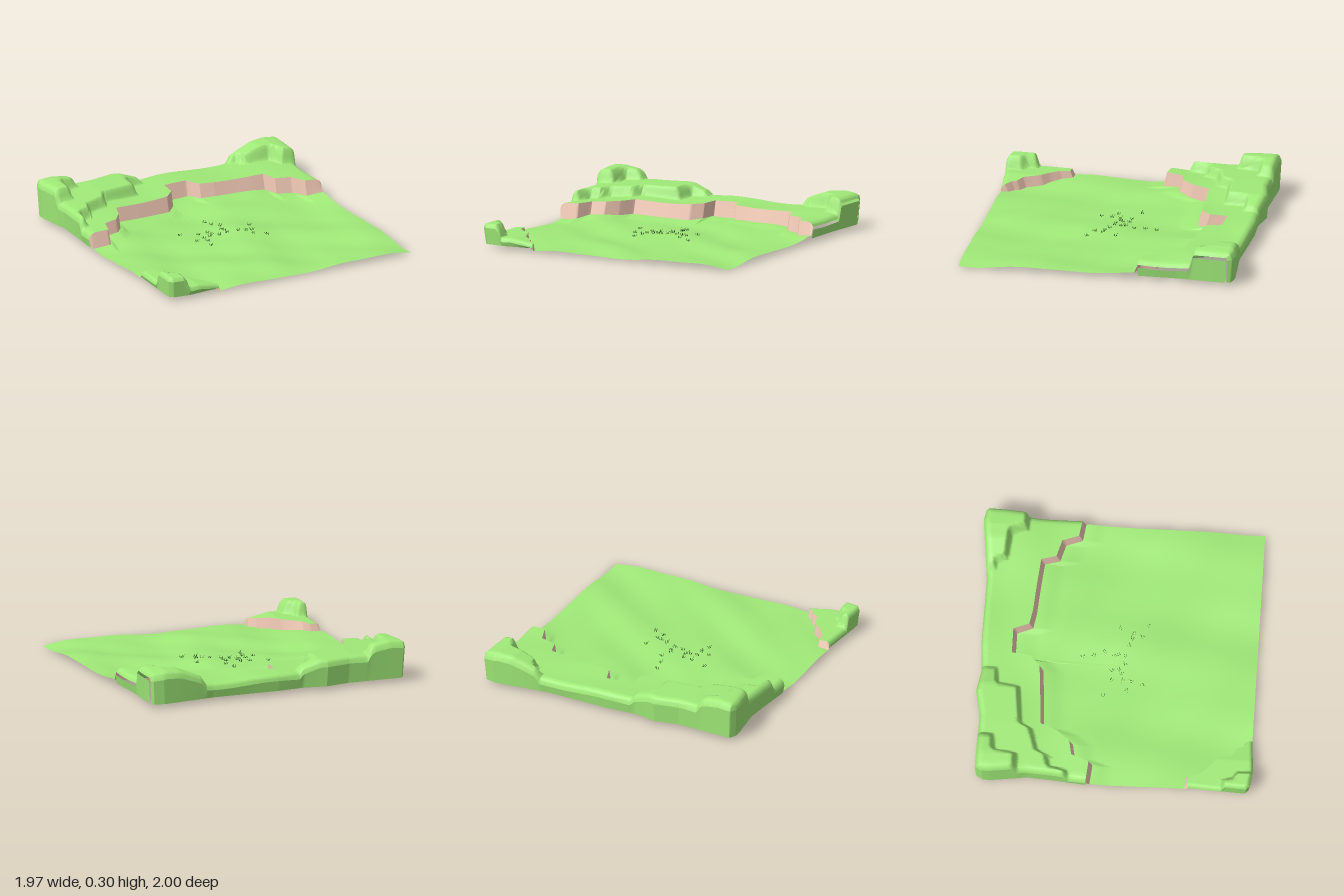
import * as THREE from 'three';
import { mergeGeometries } from 'three/addons/utils/BufferGeometryUtils.js';

const GREEN = 0xa0ea78, ROCK = 0xf0c8b4, TUFT = 0x3c6a30;
const EDGE = 0.965, BASE = 0.045;

// plan lines, each a list of [x, z] with x rising
const cliffLine = [[-0.97, -0.15], [-0.83, -0.135], [-0.79, -0.26], [-0.69, -0.28], [-0.62, -0.37], [-0.57, -0.49],
  [-0.39, -0.5], [-0.14, -0.52], [-0.07, -0.59], [-0.055, -0.72], [0.125, -0.72], [0.165, -0.61], [0.27, -0.59],
  [0.45, -0.575], [0.65, -0.555], [0.68, -0.45], [0.8, -0.415], [0.84, -0.3], [0.97, -0.28]];
const cornerLine = [[-0.97, 0.52], [-0.885, 0.52], [-0.87, 0.59], [-0.81, 0.66], [-0.75, 0.71], [-0.71, 0.82],
  [-0.65, 0.86], [-0.64, 0.89], [-0.59, 0.93], [-0.58, 0.975]];
const backEdge = [[-0.97, -0.9], [-0.94, -0.955], [-0.55, -0.945], [-0.37, -0.98], [-0.2, -0.95], [0, -0.965],
  [0.5, -0.955], [0.75, -0.985], [0.88, -1], [0.95, -0.985], [0.97, -0.93]];
const frontEdge = [[-0.97, 0.95], [-0.94, 0.98], [-0.83, 0.995], [-0.65, 0.98], [-0.58, 0.975]];
const middleTier = [[-0.99, -0.3], [-0.9, -0.3], [-0.88, -0.43], [-0.8, -0.45], [-0.77, -0.52], [-0.61, -0.57],
  [-0.58, -0.64], [-0.3, -0.67], [-0.28, -0.82], [-0.165, -0.83], [-0.15, -1.1]];
const highTier = [[-0.99, -0.66], [-0.825, -0.66], [-0.8, -0.82], [-0.69, -0.83], [-0.67, -1.1]];
const rightTier = [[0.53, -1.1], [0.55, -0.89], [0.6, -0.88], [0.63, -0.81], [0.81, -0.79], [0.85, -0.68], [0.99, -0.67]];
const cornerTier = [[-0.99, 0.765], [-0.885, 0.77], [-0.87, 0.84], [-0.825, 0.88], [-0.81, 1.1]];

// straight-line lookup in a table of pairs
function at(table, x) {
  if (x <= table[0][0]) return table[0][1];
  for (let i = 1; i < table.length; i++) {
    const [x0, z0] = table[i - 1], [x1, z1] = table[i];
    if (x <= x1) return z0 + (z1 - z0) * (x - x0) / (x1 - x0);
  }
  return table[table.length - 1][1];
}

// 0 outside a tier, 1 inside, with a short steep bank along its line
function inside(line, x, z, dir) {
  if ((z - at(line, x)) * dir <= 0) return 0;
  let d = 1;
  for (let i = 1; i < line.length; i++) {
    const [ax, az] = line[i - 1], bx = line[i][0] - ax, bz = line[i][1] - az;
    const t = THREE.MathUtils.clamp(((x - ax) * bx + (z - az) * bz) / (bx * bx + bz * bz), 0, 1);
    d = Math.min(d, Math.hypot(x - ax - bx * t, z - az - bz * t));
  }
  return THREE.MathUtils.smoothstep(d, 0, 0.04);
}

// amount a rounded rim falls at distance e from the edge
const rim = (e, r) => (e >= r ? 0 : r - Math.sqrt(Math.max(0, r * r - (r - Math.max(e, 0)) ** 2)));

// sides of the raised land swell out or in a little along z
const leftSwell = [[-1, -0.022], [-0.85, -0.022], [-0.6, 0.012], [-0.4, 0], [-0.2, -0.018], [0.5, 0.005], [0.9, -0.018]];
const rightSwell = [[-1, 0.022], [-0.85, 0.018], [-0.6, 0]];
const swell = (x, z) => x + (x < 0 ? at(leftSwell, z) : at(rightSwell, z)) * THREE.MathUtils.smoothstep(Math.abs(x), 0.75, EDGE);

function groundPoint(x, z) {
  const y = 0.04 + 0.009 * Math.sin(7 * x + 3 * z + 0.6) + 0.008 * Math.sin(9 * z - 4 * x + 1)
    + 0.006 * Math.sin(13 * x - 6 * z) * Math.cos(8 * z + 2 * x)
    + 0.015 * THREE.MathUtils.smoothstep(at(cliffLine, x) - z, -0.15, 0);
  return new THREE.Vector3(x, y, z);
}

function plateauPoint(x, z) {
  const mix = THREE.MathUtils.lerp;
  let y = 0.158 + 0.006 * Math.sin(9 * x + 1) + 0.005 * Math.sin(11 * z + 4 * x);
  y = mix(y, at([[-0.95, 0.22], [-0.6, 0.235], [-0.32, 0.235], [-0.16, 0.18]], x), inside(middleTier, x, z, -1));
  y = mix(y, at([[-0.95, 0.31], [-0.85, 0.318], [-0.75, 0.3], [-0.68, 0.265]], x), inside(highTier, x, z, -1));
  y = mix(y, at([[0.55, 0.19], [0.65, 0.23], [0.76, 0.268], [0.85, 0.275], [0.97, 0.262]], x), inside(rightTier, x, z, -1));
  y -= rim(Math.min(EDGE - Math.abs(x), z - at(backEdge, x)), 0.05);
  return new THREE.Vector3(swell(x, z), y, z);
}

function cornerPoint(x, z) {
  let y = at([[-0.95, 0.1], [-0.75, 0.105], [-0.6, 0.08]], x);
  y = THREE.MathUtils.lerp(y, 0.192, inside(cornerTier, x, z, 1));
  y -= rim(Math.min(x + EDGE, at(frontEdge, x) - z), 0.03);
  return new THREE.Vector3(swell(x, z), y, z);
}

// evenly spaced columns plus every bend of the given lines
function columns(x0, x1, ...lines) {
  const xs = [];
  const n = Math.round((x1 - x0) / 0.02);
  for (let i = 0; i <= n; i++) xs.push(x0 + (x1 - x0) * i / n);
  for (const line of lines) for (const [x] of line) xs.push(x);
  for (const e of [0.004, 0.012, 0.03]) xs.push(x0 + e, x1 - e);
  return [...new Set(xs)].filter(x => x >= x0 && x <= x1).sort((a, b) => a - b);
}

// mesh through rows of points, all rows the same length
function surface(name, rows, color) {
  const w = rows[0].length, index = [];
  for (let i = 0; i + 1 < rows.length; i++)
    for (let j = 0; j + 1 < w; j++) {
      const a = i * w + j, c = a + w;
      index.push(a, a + 1, c, c, a + 1, c + 1);
    }
  const g = new THREE.BufferGeometry().setFromPoints(rows.flat());
  g.setIndex(index);
  g.computeVertexNormals();
  const mesh = new THREE.Mesh(g, new THREE.MeshStandardMaterial({ color, side: THREE.DoubleSide }));
  mesh.name = name;
  return mesh;
}

// sheet of land between a back line and a front line
const sheet = (name, xs, back, front, n, point) => surface(name, xs.map(x => {
  const z0 = back(x), z1 = front(x);
  return Array.from({ length: n + 1 }, (_, j) => point(x, z0 + (z1 - z0) * j / n));
}), GREEN);

// upright band from a top line to a bottom line
const band = (name, top, bottom, color) => surface(name, top.map((p, i) =>
  [1, 0.75, 0.5, 0.25, 0].map(t => bottom[i].clone().lerp(p, t))), color);

// outer wall dropping to the base, drawn in slightly at the foot
const wall = (name, top) => band(name, top, top.map(p => new THREE.Vector3(p.x * 0.988, BASE, p.z * 0.988)), GREEN);

const span = (a, b, n) => Array.from({ length: n + 1 }, (_, i) => a + (b - a) * i / n);

export function createModel() {
  const model = new THREE.Group();
  const cliff = x => at(cliffLine, x), corner = x => at(cornerLine, x);
  const cliffTop = x => cliff(x) - 0.027;
  const cornerTop = x => Math.min(corner(x) + 0.02, at(frontEdge, x));
  const wide = columns(-EDGE, EDGE, cliffLine, cornerLine, backEdge, middleTier, highTier, rightTier);
  const small = columns(-EDGE, -0.58, cornerLine, frontEdge, cornerTier);

  // meadow floor and raised land
  model.add(sheet('meadow', wide, cliff, corner, 60, groundPoint));
  model.add(sheet('plateau', wide, x => at(backEdge, x), cliffTop, 54, plateauPoint));
  model.add(sheet('cornerHill', small, cornerTop, x => at(frontEdge, x), 36, cornerPoint));

  // bare rock faces
  model.add(band('plateauCliff', wide.map(x => plateauPoint(x, cliffTop(x))), wide.map(x => groundPoint(x, cliff(x))), ROCK));
  const back = [...small].reverse();
  model.add(band('cornerCliff', back.map(x => cornerPoint(x, cornerTop(x))), back.map(x => groundPoint(x, corner(x))), ROCK));

  // outer walls
  const sideZ = (x) => span(cliffTop(x), at(backEdge, x), 40);
  model.add(wall('rightWall', sideZ(EDGE).map(z => plateauPoint(EDGE, z))));
  model.add(wall('backWall', [...wide].reverse().map(x => plateauPoint(x, at(backEdge, x)))));
  model.add(wall('leftWall', sideZ(-EDGE).reverse().map(z => plateauPoint(-EDGE, z))));
  model.add(wall('cornerSideWall', span(cornerTop(-EDGE), at(frontEdge, -EDGE), 30).map(z => cornerPoint(-EDGE, z))));
  model.add(wall('cornerFrontWall', small.map(x => cornerPoint(x, at(frontEdge, x)))));

  // grass tufts scattered over the middle of the meadow
  const spots = [[-0.01, -0.25], [0, -0.17], [-0.3, -0.09], [-0.18, -0.04], [-0.11, -0.04], [0.03, -0.1], [0, -0.03],
    [0.01, 0], [-0.1, 0.01], [-0.18, 0.04], [-0.13, 0.03], [-0.06, 0.05], [-0.25, 0.07], [-0.18, 0.1], [0.08, 0.07],
    [0.13, 0.09], [0.17, 0.1], [0.15, 0.16], [0.21, 0], [0.24, 0.2], [-0.2, 0.18], [0, 0.05]];
  const blades = [];
  spots.forEach(([x, z], s) => {
    for (let k = 0; k < 5; k++) {
      const a = k * 2.4 + s, r = 0.004 + 0.002 * k, h = 0.018 + 0.004 * ((k + s) % 3);
      const blade = new THREE.ConeGeometry(0.003, h, 3).translate(0, h / 2, 0).rotateZ(-0.35).rotateY(-a);
      const p = groundPoint(x + r * Math.cos(a), z + r * Math.sin(a));
      blades.push(blade.translate(p.x, p.y - 0.002, p.z));
    }
  });
  const tufts = new THREE.Mesh(mergeGeometries(blades), new THREE.MeshStandardMaterial({ color: TUFT }));
  tufts.name = 'grassTufts';
  model.add(tufts);
  return model;
}
